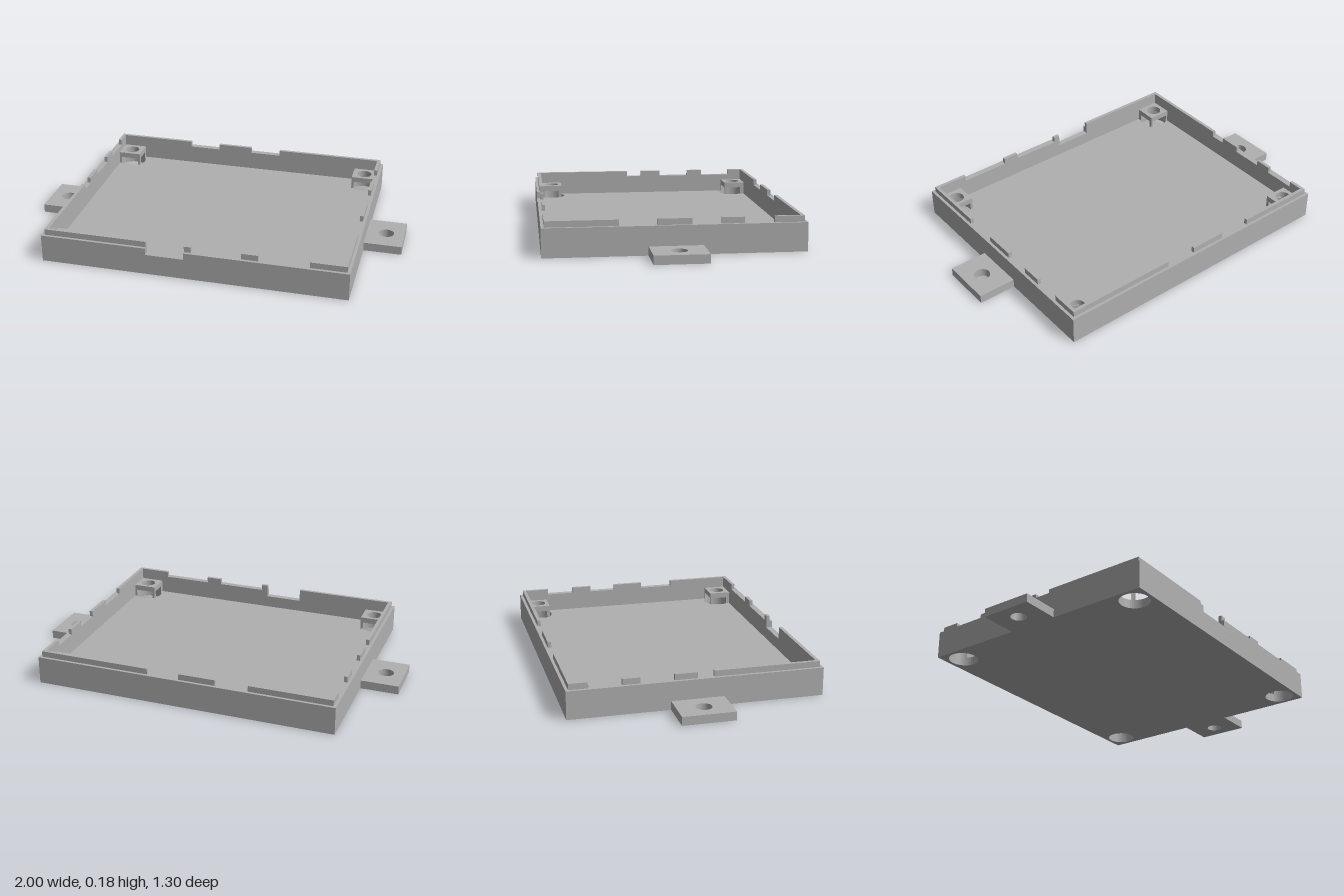
import * as THREE from 'three';

// Main dimensions (half widths in x and z, heights in y)
const OX = 0.8, OZ = 0.65;          // outer walls
const IX = 0.767, IZ = 0.617;       // inner walls
const FLOOR = 0.046, BORE = 0.085, CAP = 0.115, NOTCH = 0.11, WALL = 0.146, LIP = 0.177;
const PX = 0.64, PZ = 0.497;        // inner faces of the corner posts
const HX = 0.705, HZ = 0.555;       // screw hole centres
const HOLE_R = 0.041, BORE_R = 0.077;
const CORNERS = [[1, 1], [-1, 1], [-1, -1], [1, -1]];

const rectPoints = (x0, z0, x1, z1) =>
  [[x0, z0], [x1, z0], [x1, z1], [x0, z1]].map(([x, z]) => new THREE.Vector2(x, z));
const rect = (...r) => new THREE.Shape(rectPoints(...r));

function circle(x, z, r) {
  const path = new THREE.Path();
  path.absarc(x, z, r, 0, Math.PI * 2, true);
  return path;
}

// Points along the counterbore edge of the (+,+) corner
function arcPoints(a0, a1, n) {
  return Array.from({ length: n + 1 }, (_, i) => {
    const a = a0 + (a1 - a0) * i / n;
    return new THREE.Vector2(HX + BORE_R * Math.cos(a), HZ + BORE_R * Math.sin(a));
  });
}

const mirrored = (points, sx, sz) => {
  const out = points.map(p => new THREE.Vector2(p.x * sx, p.y * sz));
  return sx * sz < 0 ? out.reverse() : out;
};

export function createModel() {
  const group = new THREE.Group();
  const grey = new THREE.MeshStandardMaterial({ color: 0xb0b0b0 });
  grey.name = 'grey plastic';

  // Horizontal layer from y0 to y1; plan y points to the back
  function layer(name, shape, y0, y1) {
    const geometry = new THREE.ExtrudeGeometry(shape, { depth: y1 - y0, bevelEnabled: false, curveSegments: 24 });
    geometry.rotateX(-Math.PI / 2).translate(0, y0, 0);
    const mesh = new THREE.Mesh(geometry, grey);
    mesh.name = name;
    group.add(mesh);
  }

  // Floor with four counterbored openings
  const floor = rect(-OX, -OZ, OX, OZ);
  CORNERS.forEach(([sx, sz]) => floor.holes.push(circle(sx * HX, sz * HZ, BORE_R)));
  layer('floor', floor, 0, FLOOR);

  // Lower walls, with the counterbores biting into the corners
  const dx = Math.sqrt(BORE_R ** 2 - (HZ - PZ) ** 2);
  const dz = Math.sqrt(BORE_R ** 2 - (HX - PX) ** 2);
  const corner = [
    new THREE.Vector2(IX, PZ),
    ...arcPoints(Math.atan2(PZ - HZ, dx), Math.atan2(dz, PX - HX), 24),
    new THREE.Vector2(PX, IZ),
  ];
  const lower = rect(-OX, -OZ, OX, OZ);
  lower.holes.push(new THREE.Path(CORNERS.flatMap(([sx, sz]) => mirrored(corner, sx, sz))));
  layer('lowerWalls', lower, FLOOR, BORE);

  // Corner posts: a thin strut below and a drilled cap on top
  const strut = [
    new THREE.Vector2(PX, PZ),
    ...arcPoints(Math.atan2(PZ - HZ, -dx), Math.atan2(-dz, PX - HX) , 6),
  ];
  CORNERS.forEach(([sx, sz]) => {
    layer('postStrut', new THREE.Shape(mirrored(strut, sx, sz)), FLOOR, BORE);
    const cap = new THREE.Shape(mirrored(rectPoints(PX, PZ, IX, IZ), sx, sz));
    cap.holes.push(circle(sx * HX, sz * HZ, HOLE_R));
    layer('postCap', cap, BORE, CAP);
  });

  // Middle walls: a closed ring up to the sill of the front notch
  const ring = rect(-OX, -OZ, OX, OZ);
  ring.holes.push(new THREE.Path(rectPoints(-IX, -IZ, IX, IZ)));
  layer('middleWalls', ring, BORE, NOTCH);

  // Upper walls, open at the front notch
  const n0 = -0.24, n1 = -0.04;
  layer('upperWalls', new THREE.Shape([
    [n1, -OZ], [OX, -OZ], [OX, OZ], [-OX, OZ], [-OX, -OZ], [n0, -OZ],
    [n0, -IZ], [-IX, -IZ], [-IX, IZ], [IX, IZ], [IX, -IZ], [n1, -IZ],
  ].map(([x, z]) => new THREE.Vector2(x, z))), NOTCH, WALL);

  // Broken lip along the inner edge of the walls
  const LX = 0.785, LZ = 0.635;
  function lip(name, x0, x1, z0, z1) {
    const mesh = new THREE.Mesh(new THREE.BoxGeometry(x1 - x0, LIP - WALL, z1 - z0), grey);
    mesh.position.set((x0 + x1) / 2, (WALL + LIP) / 2, (z0 + z1) / 2);
    mesh.name = name;
    group.add(mesh);
  }
  [[-LX, n0], [n1, -0.005], [0.255, 0.34], [0.6, LX]].forEach(([a, b]) => lip('frontLip', a, b, IZ, LZ));
  [[-LX, -0.35], [-0.175, 0.02], [0.19, LX]].forEach(([a, b]) => lip('backLip', a, b, -LZ, -IZ));
  [[-IZ, -0.485], [-0.337, -0.225], [-0.08, 0.09], [0.275, IZ]].forEach(([a, b]) => lip('leftLip', IX, LX, a, b));
  [[-IZ, -0.54], [-0.372, -0.283], [-0.113, 0.003], [0.087, IZ]].forEach(([a, b]) => lip('rightLip', -LX, -IX, a, b));

  // Mounting ears
  [-1, 1].forEach(s => {
    const ear = new THREE.Shape(mirrored(rectPoints(OX, -0.135, 1, 0.135), s, 1));
    ear.holes.push(circle(s * 0.903, 0, HOLE_R));
    layer('mountingEar', ear, 0, 0.045);
  });

  return group;
}
